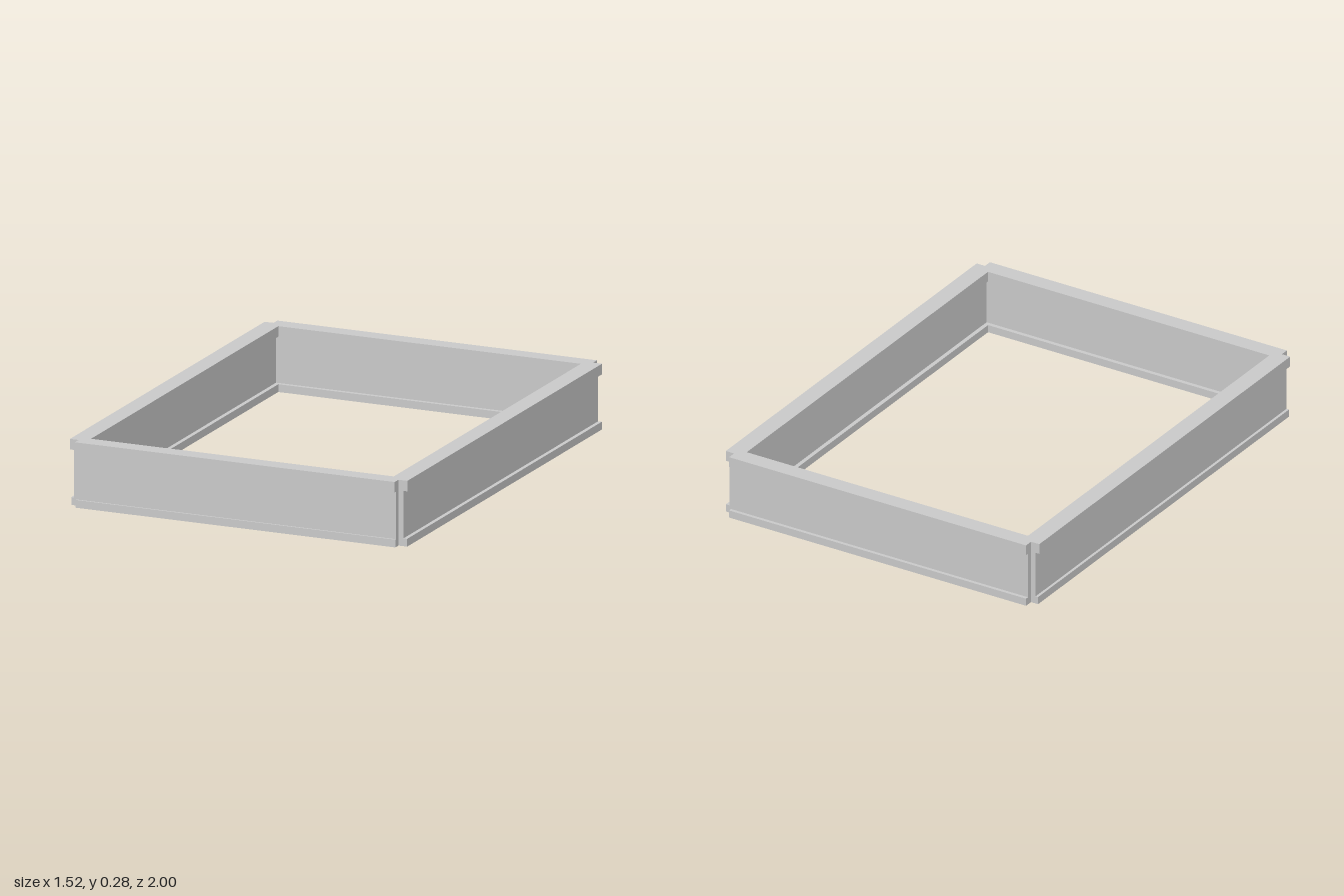
import * as THREE from 'three';

const material = new THREE.MeshStandardMaterial({ color: 0xcccccc, flatShading: true });

// Rectangular outline whose four corners are notched back to (nx, nz)
function notchedOutline(x0, x1, z0, z1, nx, nz) {
  return new THREE.Shape([
    [-nx, -z1], [nx, -z1], [nx, -nz], [x1, -nz], [x1, nz], [nx, nz],
    [nx, -z0], [-nx, -z0], [-nx, nz], [x0, nz], [x0, -nz], [-nx, -nz],
  ].map(([x, y]) => new THREE.Vector2(x, y)));
}

function rectHole(cx, cz, w, d) {
  const x = w / 2, y = d / 2;
  return new THREE.Path([[-x, -y], [-x, y], [x, y], [x, -y]]
    .map(([a, b]) => new THREE.Vector2(cx + a, -cz + b)));
}

// Extrudes a plan shape upward from y0 to y1
function slab(name, shape, y0, y1) {
  const geometry = new THREE.ExtrudeGeometry(shape, { depth: y1 - y0, bevelEnabled: false, curveSegments: 6 });
  geometry.rotateX(-Math.PI / 2).translate(0, y0, 0);
  const mesh = new THREE.Mesh(geometry, material);
  mesh.name = name;
  return mesh;
}

export function createModel() {
  const group = new THREE.Group();
  group.name = 'rectangularFrame';
  const baseTop = 0.033, capBottom = 0.235, top = 0.28;

  // Wide cap rail
  const cap = notchedOutline(-0.758, 0.758, -1, 1, 0.718, 0.962);
  cap.holes.push(rectHole(0, 0, 1.36, 1.85));
  group.add(slab('capRail', cap, capBottom, top));

  // Thin upright walls
  const wall = notchedOutline(-0.74, 0.74, -0.985, 0.985, 0.718, 0.962);
  wall.holes.push(rectHole(0, 0, 1.396, 1.886));
  group.add(slab('walls', wall, baseTop, capBottom));

  // Base flange with open grooves underneath, separated by cross ribs
  const base = notchedOutline(-0.752, 0.757, -1, 0.993, 0.718, 0.962);
  base.holes.push(rectHole(0, 0, 1.36, 1.85));
  const groove = 0.028, rib = 0.025;
  const addGrooves = (half, count, place) => {
    const step = (2 * half) / count;
    for (let i = 0; i < count; i++) place(-half + step * (i + 0.5), step - rib);
  };
  for (const s of [-1, 1]) {
    addGrooves(0.68, 3, (c, len) => base.holes.push(rectHole(c, s * 0.964, len, groove)));
    addGrooves(0.925, 4, (c, len) => base.holes.push(rectHole(s * 0.719, c, groove, len)));
  }

  // Corner sockets, each closed by a recessed plug
  for (const sx of [-1, 1]) for (const sz of [-1, 1]) {
    const x = sx * 0.7, z = sz * 0.944;
    const hole = new THREE.Path();
    hole.absarc(x, -z, 0.011, 0, Math.PI * 2, true);
    base.holes.push(hole);
    const plug = new THREE.Mesh(new THREE.CylinderGeometry(0.011, 0.011, 0.013, 12), material);
    plug.position.set(x, baseTop - 0.0065, z);
    plug.name = 'cornerPlug';
    group.add(plug);
  }
  group.add(slab('baseFlange', base, 0, baseTop));

  return group;
}
